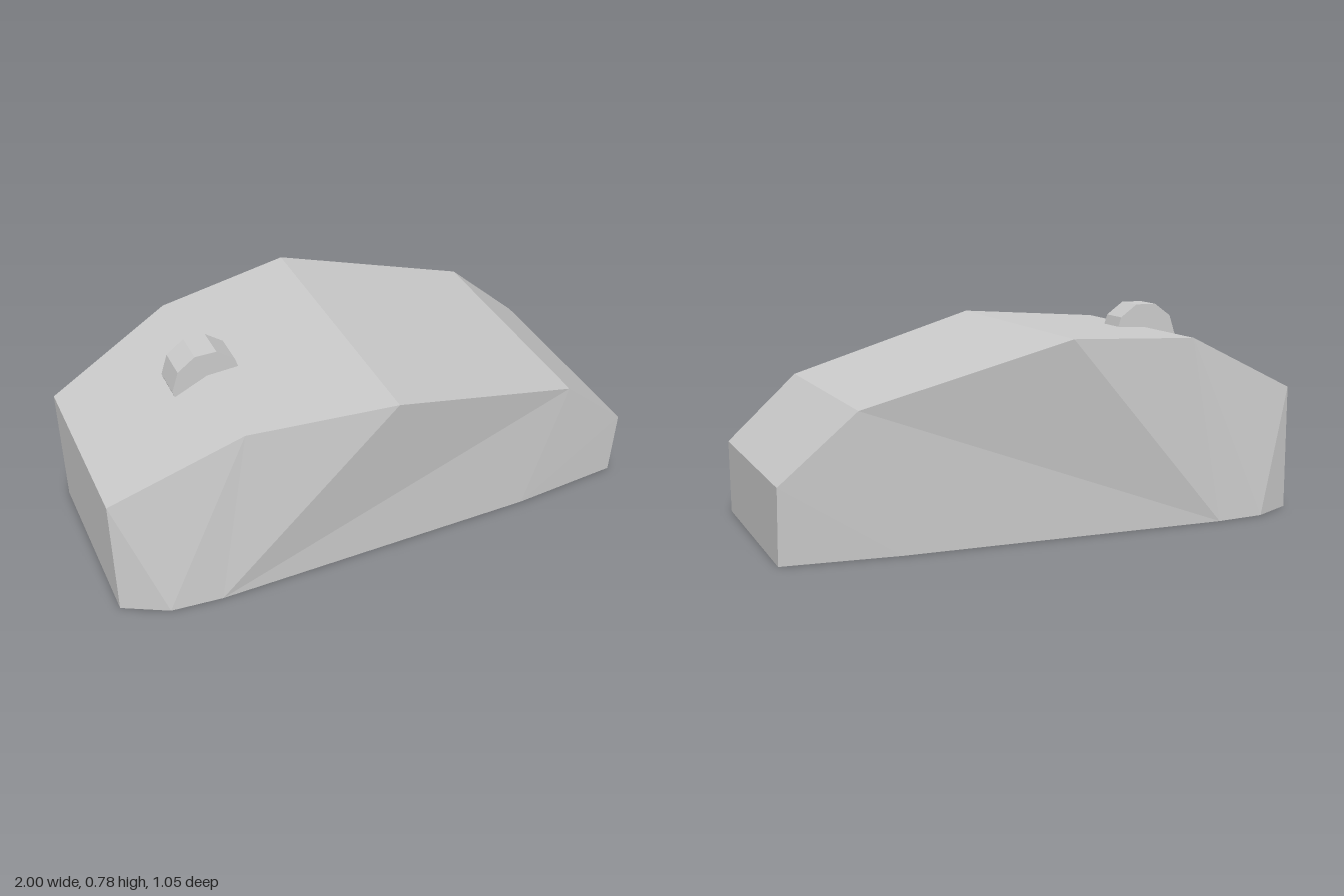
import * as THREE from 'three';

// Upper rim as [x, y, half width], lower rim as [x, half width]
const TOP = [[-1, 0.47, 0.34], [-0.53, 0.69, 0.43], [-0.01, 0.72, 0.525], [0.73, 0.51, 0.448], [1, 0.27, 0.416]];
const BASE = [[-1, 0.34], [-0.84, 0.427], [-0.65, 0.445], [0.58, 0.433], [1, 0.4]];

// Triangles of one flank, joining upper rim (t) to lower rim (b)
const FLANK = ['t0 b0 b1', 't0 b1 t1', 't1 b1 b2', 't1 b2 t2', 't2 b2 t3', 't3 b2 b3', 't3 b3 t4', 't4 b3 b4'];

const top = (i, s) => [TOP[i][0], TOP[i][1], s * TOP[i][2]];
const base = (i, s) => [BASE[i][0], 0, s * BASE[i][1]];

function facets(name, triangles, material) {
  const geometry = new THREE.BufferGeometry();
  geometry.setAttribute('position', new THREE.Float32BufferAttribute(triangles.flat(2), 3));
  geometry.computeVertexNormals();
  const mesh = new THREE.Mesh(geometry, material);
  mesh.name = name;
  return mesh;
}

const quad = (a, b, c, d) => [[a, b, c], [a, c, d]];

export function createModel() {
  const group = new THREE.Group();
  group.name = 'computerMouse';
  const material = new THREE.MeshStandardMaterial({ color: 0xcccccc, flatShading: true, side: THREE.DoubleSide });

  // Arched top panels
  const cover = [];
  for (let i = 0; i < TOP.length - 1; i++) {
    cover.push(...quad(top(i, 1), top(i + 1, 1), top(i + 1, -1), top(i, -1)));
  }
  group.add(facets('topCover', cover, material));

  // Faceted flanks, mirrored across z; the underside stays open
  for (const side of [1, -1]) {
    const triangles = FLANK.map((row) => {
      const corners = row.split(' ').map((k) => (k[0] === 't' ? top : base)(Number(k[1]), side));
      return side > 0 ? corners : corners.reverse();
    });
    group.add(facets(side > 0 ? 'frontFlank' : 'backFlank', triangles, material));
  }

  // Upright end walls
  group.add(facets('highEndWall', quad(top(0, 1), top(0, -1), base(0, -1), base(0, 1)), material));
  group.add(facets('lowEndWall', quad(top(4, 1), base(4, 1), base(4, -1), top(4, -1)), material));

  // Ten-sided scroll wheel, partly sunk into the cover
  const wheel = new THREE.Mesh(
    new THREE.CylinderGeometry(0.13, 0.13, 0.12, 10, 1, false, Math.PI / 10).rotateX(Math.PI / 2),
    material
  );
  wheel.name = 'scrollWheel';
  wheel.position.set(-0.53, 0.656, 0);
  group.add(wheel);

  return group;
}
